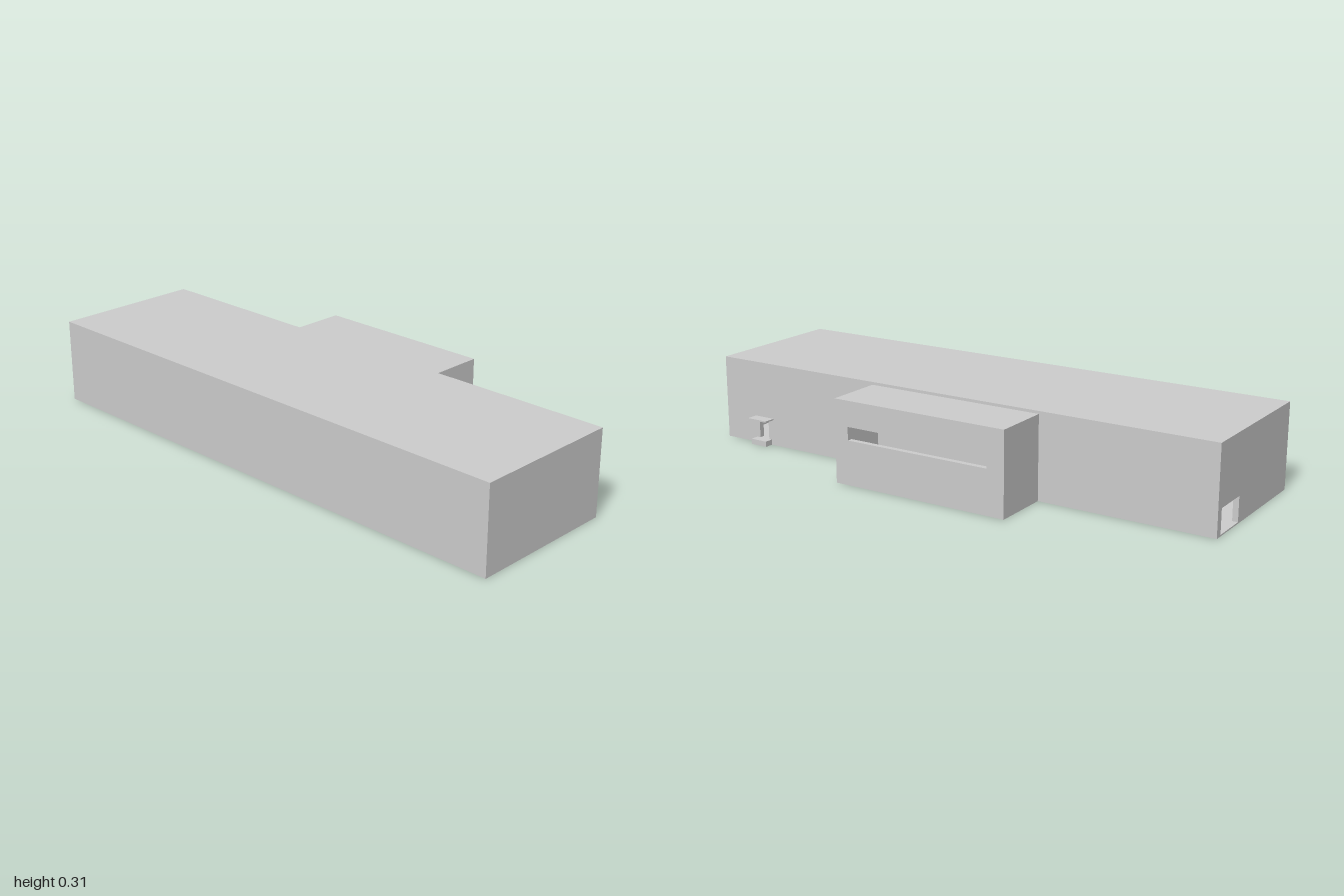
import * as THREE from 'three';

const material = new THREE.MeshStandardMaterial({ color: 0xcccccc, flatShading: true });
const T = 0.02; // wall thickness
const FLOOR = 0.005;

// Box given by its limits on each axis
function block(name, [x0, x1], [y0, y1], [z0, z1]) {
  const mesh = new THREE.Mesh(new THREE.BoxGeometry(x1 - x0, y1 - y0, z1 - z0), material);
  mesh.name = name;
  mesh.position.set((x0 + x1) / 2, (y0 + y1) / 2, (z0 + z1) / 2);
  return mesh;
}

// Upright wall with one rectangular opening, thickness along +z
function openWall(name, [u0, u1], [y0, y1], [h0, h1], [v0, v1]) {
  const rect = (P, a, b, c, d) => {
    const p = new P();
    p.moveTo(a, c).lineTo(b, c).lineTo(b, d).lineTo(a, d).closePath();
    return p;
  };
  const shape = rect(THREE.Shape, u0, u1, y0, y1);
  shape.holes.push(rect(THREE.Path, h0, h1, v0, v1));
  const geometry = new THREE.ExtrudeGeometry(shape, { depth: T, bevelEnabled: false });
  const mesh = new THREE.Mesh(geometry, material);
  mesh.name = name;
  return mesh;
}

// Same wall running along z, with its thickness along +x
function openSideWall(name, x, [z0, z1], ys, [h0, h1], vs) {
  const mesh = openWall(name, [-z1, -z0], ys, [-h1, -h0], vs);
  mesh.rotation.y = Math.PI / 2;
  mesh.position.x = x;
  return mesh;
}

export function createModel() {
  const model = new THREE.Group();
  model.name = 'building';

  // Main hall: hollow, with a doorway in the long side and one in the back
  const L = -0.385, R = 0.172, H = 0.31;
  const hall = new THREE.Group();
  hall.name = 'mainHall';
  const wallY = [0, H - T];
  const back = openWall('backWall', [L + T, R - T], wallY, [0.01, 0.145], [FLOOR, 0.093]);
  back.position.z = -1;
  hall.add(
    block('roof', [L, R], [H - T, H], [-1, 1]),
    block('floor', [L + T, R - T], [0, FLOOR], [-1 + T, 1 - T]),
    block('plainSideWall', [L, L + T], wallY, [-1, 1]),
    block('frontWall', [L + T, R - T], wallY, [1 - T, 1]),
    openSideWall('entranceWall', R - T, [-1, 1], wallY, [0.802, 0.845], [0.02, 0.097]),
    back
  );

  // Side annex with a long slit window
  const A = 0.385, AH = 0.3, Z0 = -0.36, Z1 = 0.315;
  const annexY = [0, AH - T];
  const annex = new THREE.Group();
  annex.name = 'annex';
  annex.add(
    block('annexRoof', [R, A], [AH - T, AH], [Z0, Z1]),
    block('annexFloor', [R, A - T], [0, FLOOR], [Z0 + T, Z1 - T]),
    block('annexBackWall', [R, A - T], annexY, [Z0, Z0 + T]),
    block('annexFrontWall', [R, A - T], annexY, [Z1 - T, Z1]),
    openSideWall('windowWall', A - T, [Z0, Z1], annexY, [-0.295, 0.262], [0.16, 0.208])
  );

  // Side entrance: canopy above, doorstep below
  const entrance = new THREE.Group();
  entrance.name = 'entrance';
  entrance.add(
    block('canopy', [R, 0.215], [0.097, 0.102], [0.778, 0.863]),
    block('doorstep', [R, 0.205], [0, 0.02], [0.79, 0.86])
  );

  model.add(hall, annex, entrance);
  return model;
}
